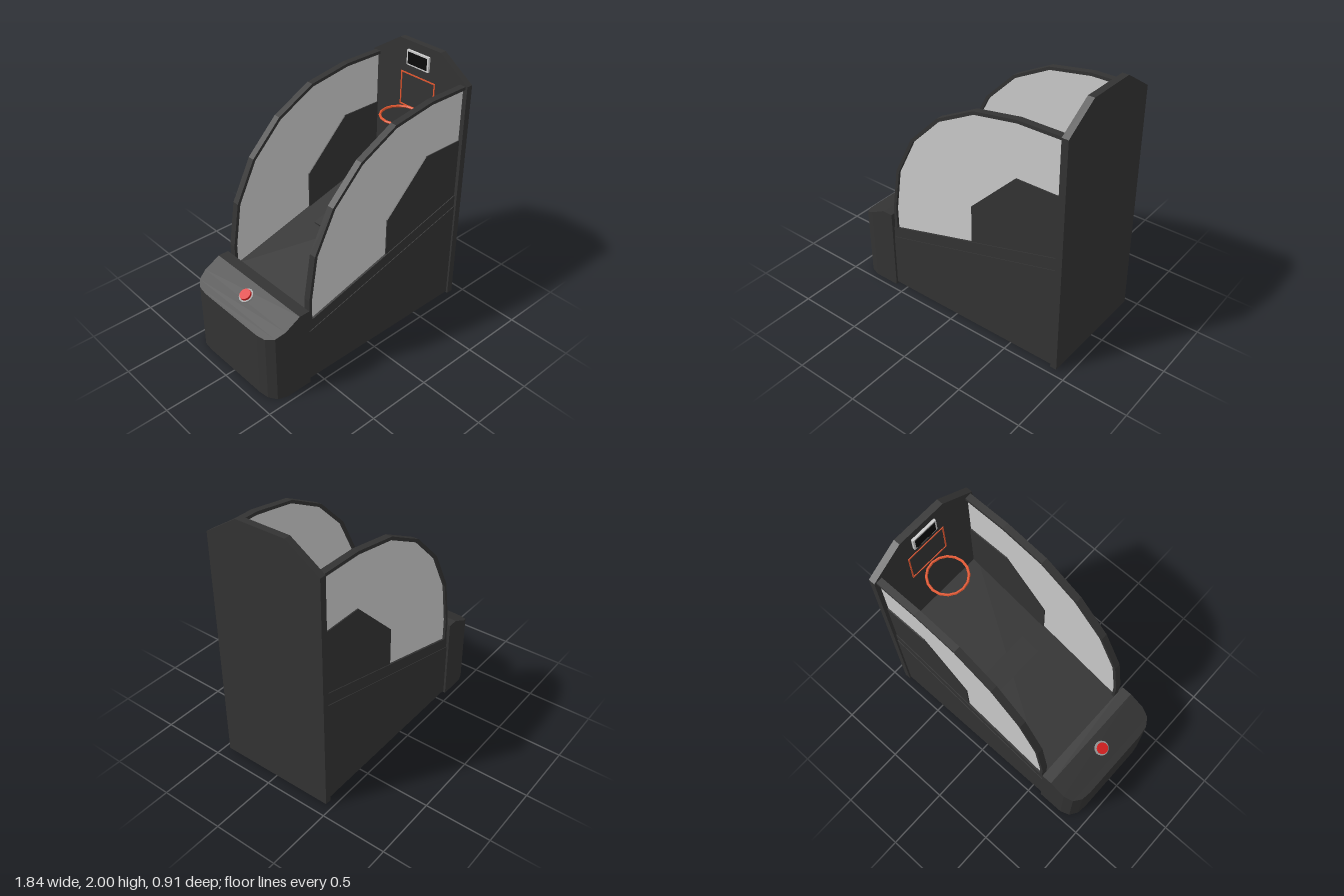
import * as THREE from 'three';

const paint = (color) => new THREE.MeshStandardMaterial({ color, flatShading: true, side: THREE.DoubleSide });

export function createModel() {
  const model = new THREE.Group();
  const dark = paint(0x333333), grey = paint(0xcccccc), orange = paint(0xe0562f);
  const red = paint(0xd82020), black = paint(0x0a0a0a), silver = paint(0x999999);

  const add = (name, geometry, material, x = 0, y = 0, z = 0) => {
    const mesh = new THREE.Mesh(geometry, material);
    mesh.name = name;
    mesh.position.set(x, y, z);
    model.add(mesh);
    return mesh;
  };
  // Extrudes an x-y outline along z, centred on the given z
  const slab = (name, points, depth, material, z = 0) => {
    const shape = new THREE.Shape(points.map(([x, y]) => new THREE.Vector2(x, y)));
    const geo = new THREE.ExtrudeGeometry(shape, { depth, bevelEnabled: false });
    geo.translate(0, 0, -depth / 2);
    return add(name, geo, material, 0, 0, z);
  };

  const front = -0.59, back = 0.865;
  const low = (x) => 0.45 + (x - front) * 0.268;
  const top = (x) => 0.535 + (x - front) * 0.275;

  // Tall back panel with clipped top corners
  const panel = slab('backPanel', [[-0.455, 0.01], [0.455, 0.01], [0.455, 1.83],
    [0.195, 2], [-0.195, 2], [-0.455, 1.83]], 0.05, dark);
  panel.rotation.y = Math.PI / 2;
  panel.position.x = 0.89;

  // Sloping play deck over an open-bottomed body
  slab('deck', [[front, low(front)], [back, low(back)], [back, top(back)], [front, top(front)]], 0.87, dark);
  const plate = add('deckPlate', new THREE.BoxGeometry(0.165, 0.03, 0.46), dark, 0.14, top(0.14), 0);
  plate.rotation.z = Math.atan(0.275);

  // Side arc: five straight facets over a quarter circle, then a level run to the back
  const arc = (r) => {
    const pts = [[0.53 - r, top(0.53 - r)]];
    for (let i = 0; i <= 5; i++) {
      const a = (i * Math.PI) / 10;
      pts.push([0.53 - r * Math.cos(a), 0.72 + r * Math.sin(a)]);
    }
    pts.push([back, 0.72 + r]);
    return pts;
  };
  const outer = arc(1.107), inner = arc(1.083);

  for (const s of [-1, 1]) {
    slab('sideWall', [[front, 0.02], [back, 0.02], [back, low(back)], [front, low(front)]], 0.03, dark, s * 0.425);
    slab('windowFrame', [...outer, ...inner.slice().reverse()], 0.05, dark, s * 0.414);
    slab('window', [...inner, [back, top(back)]], 0.012, grey, s * 0.414);
    slab('sideShield', [[0.155, top(0.155)], [0.155, 1.035], [0.52, 1.4], [back, 1.4], [back, top(back)]],
      0.03, dark, s * 0.414);
  }

  // Front console: rectangular sections [x, half width, top height] skinned along x
  const sections = [[-0.92, 0.29, 0.53], [-0.91, 0.37, 0.535], [-0.87, 0.43, 0.555],
    [-0.8, 0.455, 0.591], [-0.675, 0.455, 0.655], [-0.592, 0.455, 0.655]];
  const pos = [], index = [];
  sections.forEach(([x, w, h], i) => {
    pos.push(x, 0, -w, x, 0, w, x, h, w, x, h, -w);
    if (i === 0) return;
    for (let k = 0; k < 4; k++) {
      const a = (i - 1) * 4 + k, b = (i - 1) * 4 + ((k + 1) % 4);
      index.push(a, a + 4, b, b, a + 4, b + 4);
    }
  });
  const e = (sections.length - 1) * 4;
  index.push(0, 1, 2, 0, 2, 3, e, e + 2, e + 1, e, e + 3, e + 2);
  const consoleGeo = new THREE.BufferGeometry();
  consoleGeo.setAttribute('position', new THREE.Float32BufferAttribute(pos, 3));
  consoleGeo.setIndex(index);
  const consoleFlat = consoleGeo.toNonIndexed();
  consoleFlat.computeVertexNormals();
  add('console', consoleFlat, dark);

  // Start button on the console slope
  const tilt = Math.atan2(0.125, 0.245);
  const ring = add('buttonRing', new THREE.CylinderGeometry(0.055, 0.055, 0.02, 16), silver, -0.773, 0.61, 0);
  const button = add('button', new THREE.CylinderGeometry(0.042, 0.044, 0.04, 16), red, -0.777, 0.617, 0);
  ring.rotation.z = button.rotation.z = tilt;

  // Hoop
  const hoop = add('hoop', new THREE.TorusGeometry(0.146, 0.01, 6, 16), orange, 0.692, 1.5, 0);
  hoop.rotation.x = Math.PI / 2;

  // Target square on the back panel
  for (const s of [-1, 1]) {
    add('targetSide', new THREE.BoxGeometry(0.006, 0.27, 0.01), orange, 0.863, 1.615, s * 0.16);
    add('targetBar', new THREE.BoxGeometry(0.006, 0.01, 0.33), orange, 0.863, 1.615 + s * 0.13, 0);
  }

  // Score display
  add('displayFrame', new THREE.BoxGeometry(0.02, 0.115, 0.21), grey, 0.857, 1.878, 0);
  add('displayScreen', new THREE.BoxGeometry(0.006, 0.09, 0.18), black, 0.846, 1.878, 0);

  return model;
}
